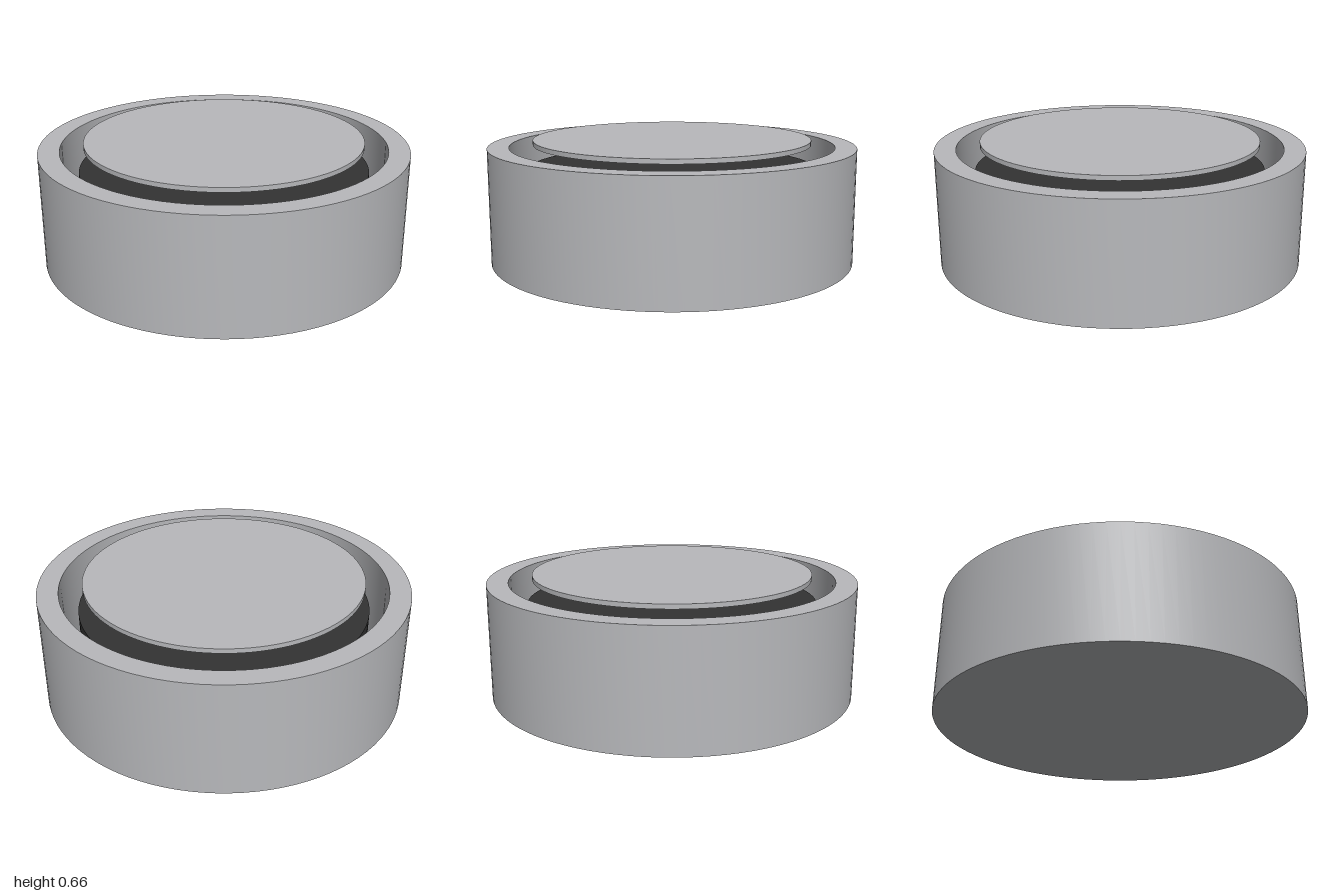
import * as THREE from 'three';
import { toCreasedNormals } from 'three/addons/utils/BufferGeometryUtils.js';

const SEGMENTS = 96;

export function createModel() {
  const model = new THREE.Group();
  const lightGrey = new THREE.MeshStandardMaterial({ color: 0xb8b9bc });
  lightGrey.name = 'light grey';
  const charcoal = new THREE.MeshStandardMaterial({ color: 0x333333 });
  charcoal.name = 'charcoal';

  const add = (name, geometry, material, y = 0) => {
    const mesh = new THREE.Mesh(geometry, material);
    mesh.name = name;
    mesh.position.y = y;
    model.add(mesh);
  };
  const disc = (radius, height) => new THREE.CylinderGeometry(radius, radius, height, SEGMENTS);

  // Open round housing with a thick wall and a closed bottom
  const profile = [[0, 0], [1, 0], [1, 0.625], [0.885, 0.625], [0.885, 0.12], [0, 0.12]]
    .map(([r, y]) => new THREE.Vector2(r, y));
  const housing = new THREE.LatheGeometry(profile, SEGMENTS);
  add('housing', toCreasedNormals(housing, Math.PI / 6), lightGrey);

  // Dark core standing in the recess, stopping below the rim
  add('core', disc(0.79, 0.38), charcoal, 0.31);

  // Thin cap floating just above the rim
  add('cap', disc(0.758, 0.025), lightGrey, 0.6475);

  return model;
}
